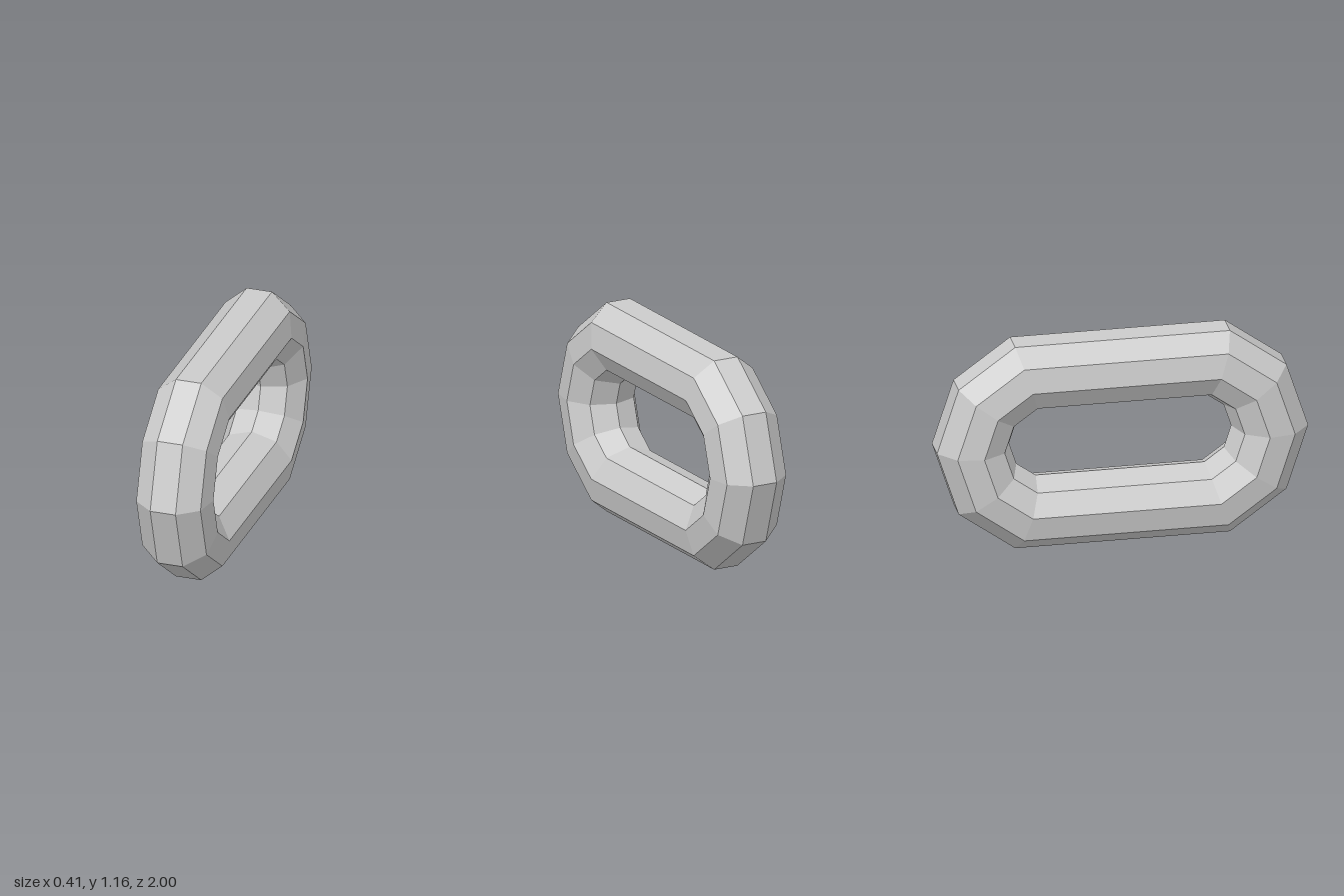
import * as THREE from 'three';

const SIDES = 9;       // sides of the link's cross-section
const BENDS = 10;      // segments around the ring
const TUBE = 0.207;    // cross-section radius
const OUTER = 0.61;    // outer radius of the rounded ends
const STRETCH = 0.39;  // half the distance between the two end centres

export function createModel() {
  const group = new THREE.Group();
  group.name = 'chainLink';

  // Cross-section: a corner faces the hole, a flat faces outwards
  const centre = OUTER - TUBE * Math.cos(Math.PI / SIDES);
  const profile = [];
  for (let i = 0; i <= SIDES; i++) {
    const a = Math.PI + (i / SIDES) * Math.PI * 2;
    profile.push(new THREE.Vector2(centre + TUBE * Math.cos(a), TUBE * Math.sin(a)));
  }

  // Ring turned upright, its axis along x
  const geometry = new THREE.LatheGeometry(profile, BENDS);
  geometry.rotateZ(-Math.PI / 2);

  // Pull the front and back halves apart to form the straight bars
  const pos = geometry.attributes.position;
  for (let i = 0; i < pos.count; i++) {
    pos.setZ(i, pos.getZ(i) + Math.sign(pos.getZ(i)) * STRETCH);
  }
  geometry.translate(0, OUTER * Math.cos(Math.PI / BENDS), 0);
  geometry.computeVertexNormals();

  const link = new THREE.Mesh(
    geometry,
    new THREE.MeshStandardMaterial({ color: 0xcccccc, flatShading: true })
  );
  link.name = 'link';
  group.add(link);
  return group;
}
